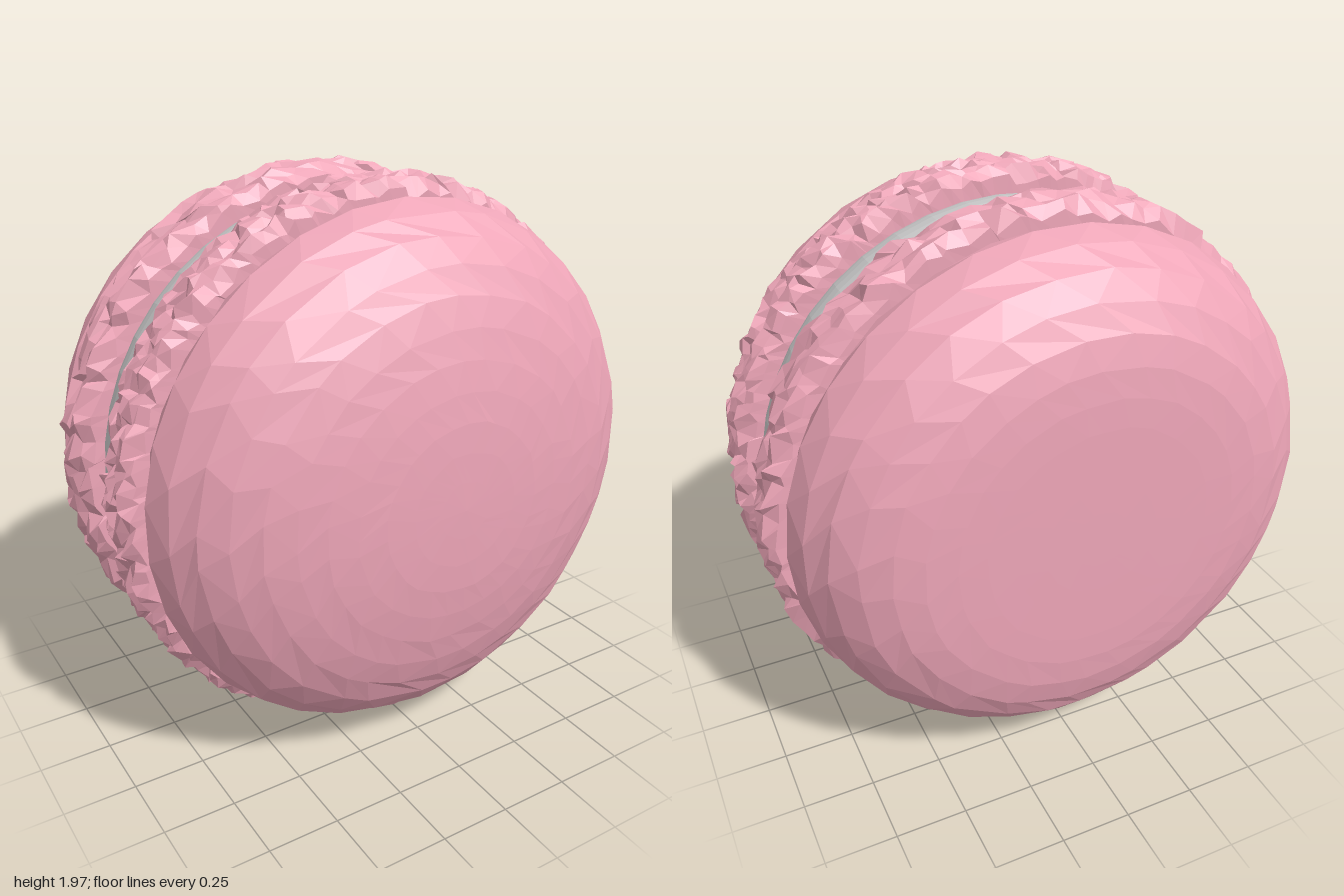
import * as THREE from 'three';

const PINK = 0xeea6b8;

// Repeatable noise in -1..1 for a pair of grid indices
function noise(i, j, seed) {
  const s = Math.sin(i * 127.1 + j * 311.7 + seed * 74.7) * 43758.5453;
  return 2 * (s - Math.floor(s)) - 1;
}

// Revolves a profile of [radius, z] pairs (z rising) around the z axis.
// shift(i, j, r, z) returns the moved [radius, z, angle offset in steps].
function revolve(name, profile, segments, material, shift) {
  const points = profile.map(([r, z]) => new THREE.Vector2(r, z));
  const geometry = new THREE.LatheGeometry(points, segments);
  const pos = geometry.attributes.position;
  for (let k = 0; k < pos.count; k++) {
    const i = Math.floor(k / points.length) % segments;
    const j = k % points.length;
    const [r, z, turn] = shift(i, j, points[j].x, points[j].y);
    const a = ((i + turn) / segments) * Math.PI * 2;
    pos.setXYZ(k, r * Math.sin(a), z, r * Math.cos(a));
  }
  geometry.rotateX(Math.PI / 2);
  geometry.computeVertexNormals();
  const mesh = new THREE.Mesh(geometry, material);
  mesh.name = name;
  mesh.position.y = 1;
  return mesh;
}

// Smooth curve through the given profile, resampled to a row count
function smoothProfile(pairs, rows) {
  const curve = new THREE.SplineCurve(pairs.map(([r, z]) => new THREE.Vector2(r, z)));
  return curve.getSpacedPoints(rows).map((p) => [Math.max(p.x, 0), p.y]);
}

// Domed biscuit shell with gently irregular facets
function shell(name, profile, material, seed) {
  return revolve(name, profile, 30, material, (i, j, r, z) => {
    const inner = r > 0.01 && r < 0.9;
    return [
      r + (inner ? 0.004 * noise(i, j, seed) : 0),
      z,
      (j % 2) * 0.5 + (inner ? 0.25 * noise(i, j, seed + 1) : 0),
    ];
  });
}

// Craggy ruffled ring: flat sides, rounded rims, rough outer wall
function ruffle(name, zMid, segments, rows, material, seed) {
  const half = 0.095;
  const profile = [[0, -half], [0.86, -half]];
  for (let k = 0; k <= rows; k++) {
    const t = (k / rows) * 2 - 1;
    profile.push([0.925 + 0.042 * Math.pow(1 - Math.pow(Math.abs(t), 4), 0.5), t * half]);
  }
  profile.push([0.86, half], [0, half]);
  const last = profile.length - 1;
  return revolve(name, profile, segments, material, (i, j, r, z) => {
    if (j < 2 || j > last - 2) return [r, z + zMid, 0];
    const rim = j === 2 || j === last - 2;
    return [
      r + 0.022 * noise(i, j, seed),
      z + zMid + (rim ? 0.003 : 0.012) * noise(i, j, seed + 1),
      0.45 * noise(i, j, seed + 2),
    ];
  });
}

export function createModel() {
  const group = new THREE.Group();
  group.name = 'sandwichBiscuit';
  const pink = new THREE.MeshStandardMaterial({ color: PINK, flatShading: true });
  const grey = new THREE.MeshStandardMaterial({ color: 0xcccccc, flatShading: true });

  // Front shell: a full dome with a flat inner side
  const front = smoothProfile([
    [0.89, 0.265], [0.92, 0.29], [0.928, 0.34], [0.9, 0.43], [0.83, 0.52],
    [0.72, 0.6], [0.55, 0.665], [0.3, 0.71], [0, 0.722],
  ], 12);
  group.add(shell('frontShell', [[0, 0.265], ...front], pink, 3));

  // Back shell: flatter across the middle, with a rounder rim
  const back = smoothProfile([
    [0, -0.726], [0.25, -0.725], [0.5, -0.72], [0.66, -0.695], [0.79, -0.63],
    [0.88, -0.53], [0.925, -0.42], [0.92, -0.35], [0.89, -0.31],
  ], 12);
  group.add(shell('backShell', [...back, [0, -0.31]], pink, 8));

  // Ruffled rings, finer at the front
  group.add(ruffle('frontRuffle', 0.175, 150, 8, pink, 5));
  group.add(ruffle('backRuffle', -0.215, 110, 6, pink, 11));

  // Cream filling with a softly bulging rim
  const cream = [[0, -0.13], [0.86, -0.13]];
  for (let k = 0; k <= 6; k++) {
    const t = k / 3 - 1;
    cream.push([0.9 - 0.022 * t * t, -0.02 + 0.11 * t]);
  }
  cream.push([0.86, 0.09], [0, 0.09]);
  group.add(revolve('filling', cream, 44, grey, (i, j, r, z) => [r, z, 0]));

  return group;
}
